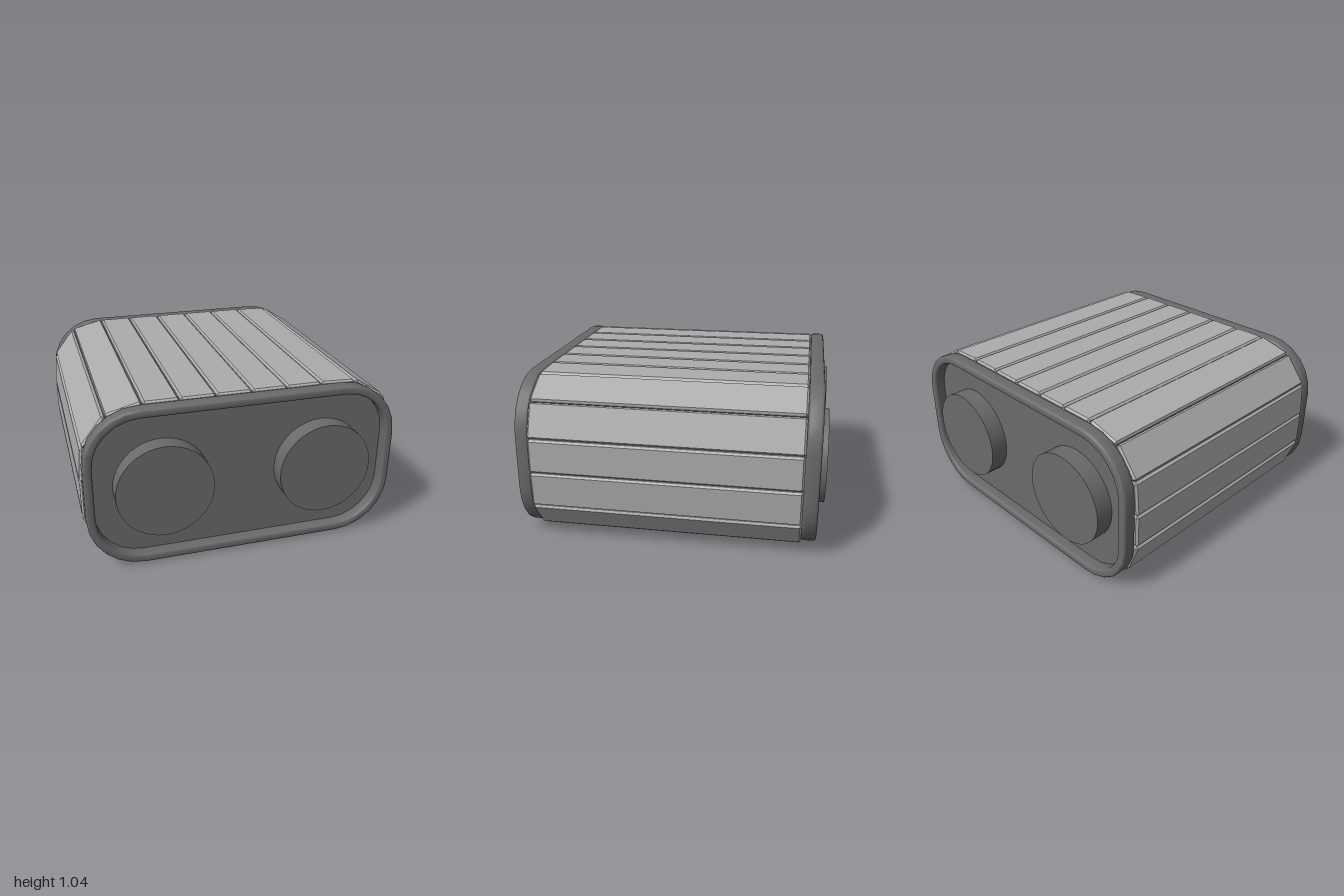
import * as THREE from 'three';
import { toCreasedNormals } from 'three/addons/utils/BufferGeometryUtils.js';
import { ConvexGeometry } from 'three/addons/geometries/ConvexGeometry.js';

const slatGrey = new THREE.MeshStandardMaterial({ color: 0xacacac });
const coverGrey = new THREE.MeshStandardMaterial({ color: 0x6a6a6a });
const MID_Y = 0.52;

function addMesh(parent, name, geometry, material) {
  const mesh = new THREE.Mesh(geometry, material);
  mesh.name = name;
  parent.add(mesh);
  return mesh;
}

// Rounded rectangle centred on the origin, from half sizes and corner radius
function roundedRect(path, w, h, r) {
  path.absarc(w - r, h - r, r, 0, Math.PI / 2);
  path.absarc(r - w, h - r, r, Math.PI / 2, Math.PI);
  path.absarc(r - w, r - h, r, Math.PI, Math.PI * 1.5);
  path.absarc(w - r, r - h, r, Math.PI * 1.5, Math.PI * 2);
  path.closePath();
  return path;
}

// Belt centre line: a rounded rectangle walked clockwise from the top centre
const HALF_W = 0.973, HALF_H = 0.494, RADIUS = 0.335;
const SX = HALF_W - RADIUS, SY = HALF_H - RADIUS, ARC = RADIUS * Math.PI / 2;
const HALF_LOOP = 2 * SX + 2 * SY + 2 * ARC;

// Point at distance s along the belt, pushed outward by t
function beltPoint(s, t, z) {
  const loop = 2 * HALF_LOOP;
  s = ((s % loop) + loop) % loop;
  const sign = s >= HALF_LOOP ? -1 : 1;
  if (sign < 0) s -= HALF_LOOP;
  const R = RADIUS + t;
  let x, y;
  if (s < SX) {
    x = s; y = SY + R;
  } else if (s < SX + ARC) {
    const a = (s - SX) / RADIUS;
    x = SX + R * Math.sin(a); y = SY + R * Math.cos(a);
  } else if (s < SX + ARC + 2 * SY) {
    x = SX + R; y = SY - (s - SX - ARC);
  } else if (s < SX + 2 * ARC + 2 * SY) {
    const a = (s - SX - ARC - 2 * SY) / RADIUS;
    x = SX + R * Math.cos(a); y = -SY - R * Math.sin(a);
  } else {
    x = SX - (s - SX - 2 * ARC - 2 * SY); y = -SY - R;
  }
  return new THREE.Vector3(sign * x, sign * y + MID_Y, z);
}

// Chamfered slat whose ends follow the belt line
function slatGeometry(center, length) {
  const half = [length / 2, 0.025, 0.83], chamfer = 0.012;
  const points = [];
  for (const i of [-1, 1]) for (const j of [-1, 1]) for (const k of [-1, 1]) {
    for (let full = 0; full < 3; full++) {
      const [s, t, z] = half.map((v, axis) => (axis === full ? v : v - chamfer));
      points.push(beltPoint(center + i * s, j * t, k * z));
    }
  }
  return new ConvexGeometry(points);
}

// End cover: rounded rim, recessed panel and two hubs, facing +z
function endCover() {
  const cover = new THREE.Group();
  const w = 0.975, h = 0.511, r = 0.345, rim = 0.055, bevel = 0.016;

  const ring = roundedRect(new THREE.Shape(), w, h, r);
  ring.holes.push(roundedRect(new THREE.Path(), w - rim, h - rim, r - rim));
  const rimGeo = new THREE.ExtrudeGeometry(ring, {
    depth: 0.09 - 2 * bevel, curveSegments: 3,
    bevelThickness: bevel, bevelSize: bevel, bevelOffset: -bevel, bevelSegments: 3,
  });
  rimGeo.translate(0, MID_Y, 0.83 + bevel);
  addMesh(cover, 'rim', toCreasedNormals(rimGeo, 0.6), coverGrey);

  const panel = roundedRect(new THREE.Shape(), w - rim + 0.01, h - rim + 0.01, r - rim + 0.01);
  const panelGeo = new THREE.ExtrudeGeometry(panel, { depth: 0.012, bevelEnabled: false, curveSegments: 3 });
  panelGeo.translate(0, MID_Y, 0.835);
  addMesh(cover, 'panel', panelGeo, coverGrey);

  for (const side of [-1, 1]) {
    const hub = addMesh(cover, 'hub', new THREE.CylinderGeometry(0.297, 0.297, 0.12, 40), coverGrey);
    hub.rotation.x = Math.PI / 2;
    hub.position.set(side * 0.505, 0.51, 0.9);
  }
  return cover;
}

export function createModel() {
  const model = new THREE.Group();
  model.name = 'slattedRollerBelt';

  // Belt of slats
  const belt = new THREE.Group();
  belt.name = 'belt';
  const count = 24, pitch = 2 * HALF_LOOP / count;
  for (let i = 0; i < count; i++) {
    addMesh(belt, 'slat', slatGeometry(0.05 + (i + 0.5) * pitch, pitch - 0.005), slatGrey);
  }
  model.add(belt);

  // Front and back covers
  for (const [name, angle] of [['frontCover', 0], ['backCover', Math.PI]]) {
    const cover = endCover();
    cover.name = name;
    cover.position.x = -0.01;
    cover.rotation.y = angle;
    model.add(cover);
  }
  return model;
}
